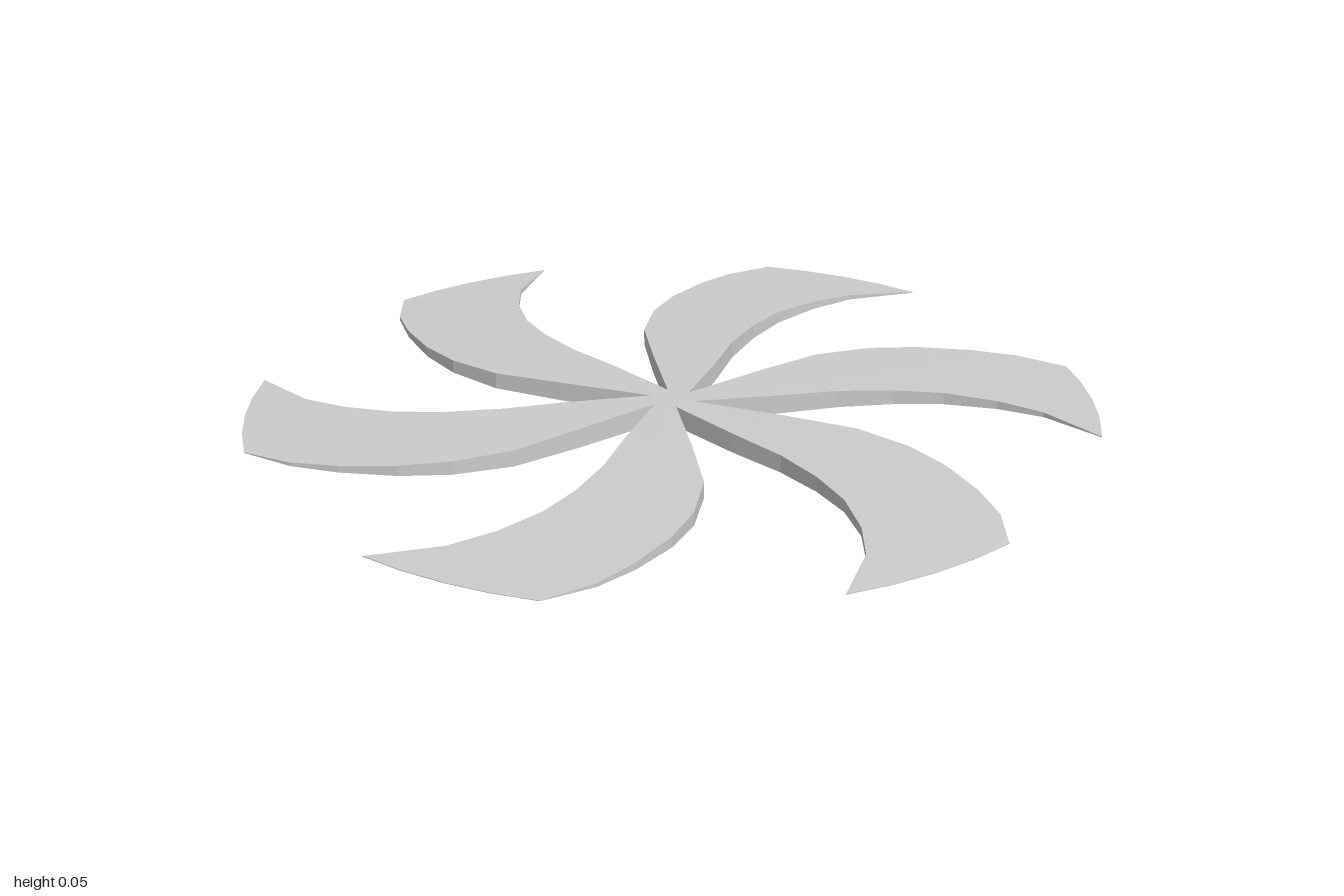
import * as THREE from 'three';

const BLADES = 6, COLS = 4, MID_Y = 0.025;

// Blade edges from hub to tip, as [x, -z]
const convexEdge = [[0.037, 0.037], [0.2, 0.19], [0.335, 0.31], [0.465, 0.37],
  [0.583, 0.393], [0.717, 0.393], [0.83, 0.375], [0.947, 0.32]];
const concaveEdge = [[0.0505, -0.0135], [0.24, 0.035], [0.39, 0.08], [0.52, 0.1],
  [0.64, 0.1], [0.765, 0.07], [0.87, 0.02], [0.995, -0.1]];

// Lens section: thickest at the centre, thin at the rim
const halfThickness = (r) => Math.max(0.0008, MID_Y * (1 - r * r));

function bladeGeometry() {
  const rows = convexEdge.map((a, i) => {
    const b = concaveEdge[i], row = [];
    for (let j = 0; j <= COLS; j++) {
      const p = new THREE.Vector2(...a).lerp(new THREE.Vector2(...b), j / COLS);
      if (i === convexEdge.length - 1) p.setLength(1); // round tip
      row.push(p);
    }
    return row;
  });

  const pos = [];
  const put = (p, side) => pos.push(p.x, MID_Y + side * halfThickness(p.length()), -p.y);
  const wall = (p, q) => {
    put(p, 1); put(q, 1); put(q, -1);
    put(p, 1); put(q, -1); put(p, -1);
  };
  // Matching top and bottom faces
  const skin = (a, b, c) => {
    put(a, 1); put(b, 1); put(c, 1);
    put(a, -1); put(c, -1); put(b, -1);
  };

  const last = rows.length - 1;
  for (let i = 0; i < last; i++) {
    for (let j = 0; j < COLS; j++) {
      const a = rows[i][j], b = rows[i + 1][j], c = rows[i + 1][j + 1], d = rows[i][j + 1];
      skin(a, d, c);
      skin(a, c, b);
    }
    wall(rows[i][0], rows[i + 1][0]);
    wall(rows[i + 1][COLS], rows[i][COLS]);
  }
  for (let j = 0; j < COLS; j++) {
    wall(rows[last][j], rows[last][j + 1]);
    // Wedge of the hub that joins this blade to the centre
    skin(new THREE.Vector2(0, 0), rows[0][j + 1], rows[0][j]);
  }

  const geometry = new THREE.BufferGeometry();
  geometry.setAttribute('position', new THREE.Float32BufferAttribute(pos, 3));
  geometry.computeVertexNormals();
  return geometry;
}

export function createModel() {
  const model = new THREE.Group();
  model.name = 'pinwheel';
  const material = new THREE.MeshStandardMaterial({ color: 0xcccccc, flatShading: true, side: THREE.DoubleSide });
  const geometry = bladeGeometry();

  // Six identical swept blades around the centre
  for (let i = 0; i < BLADES; i++) {
    const blade = new THREE.Mesh(geometry, material);
    blade.name = `blade${i + 1}`;
    blade.rotation.y = (i * Math.PI * 2) / BLADES;
    model.add(blade);
  }
  return model;
}
